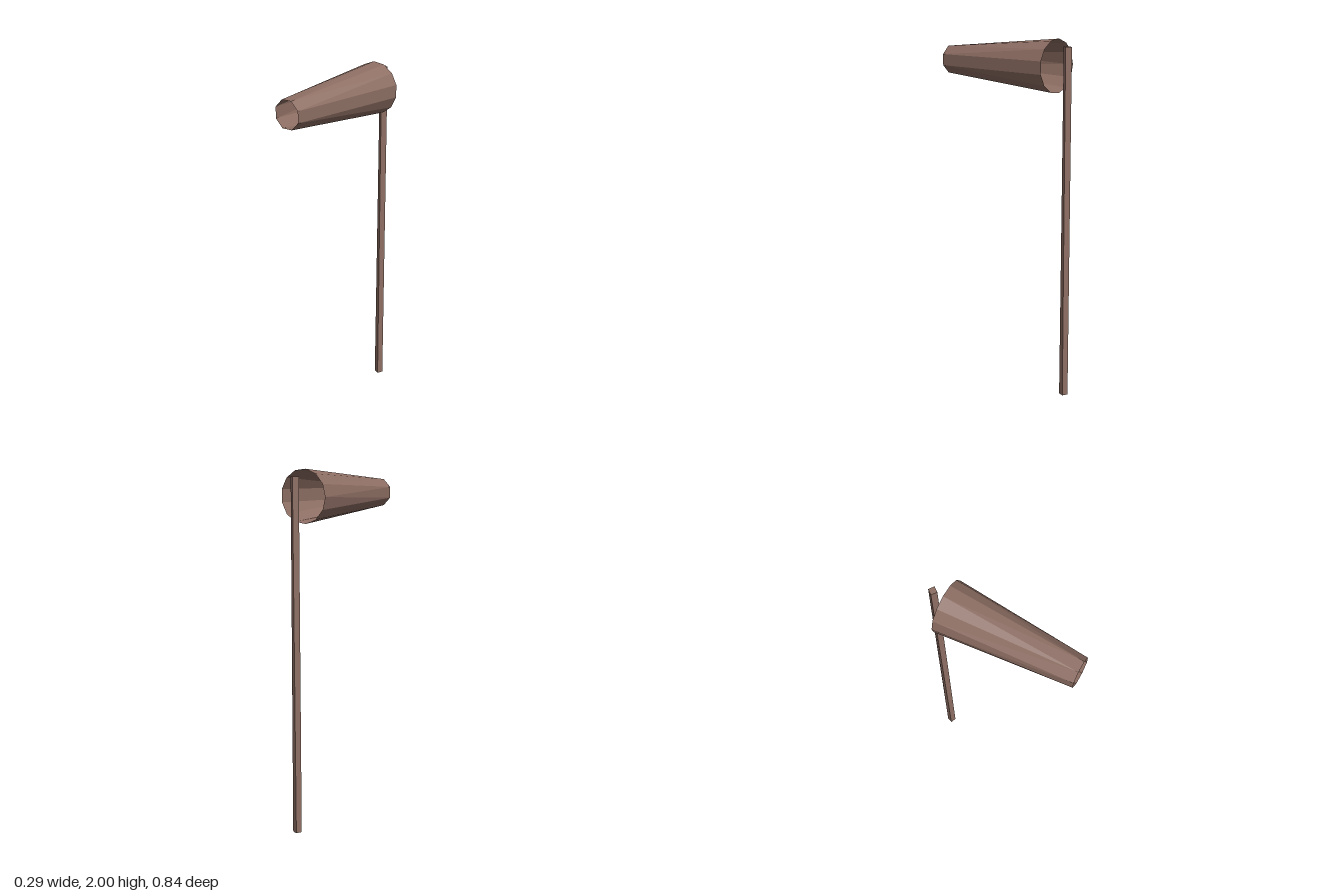
import * as THREE from 'three';

const TAU = Math.PI * 2;

// Open tapering sleeve joining two rings that have different side counts
function sleeveGeometry(wide, narrow) {
  const angle = (ring, i) => ring.start + (TAU * i) / ring.sides;
  const point = (ring, i) => [
    ring.x + ring.radius * Math.cos(angle(ring, i)),
    ring.y + ring.radius * Math.sin(angle(ring, i)),
    ring.z,
  ];
  const positions = [];
  let i = 0, j = 0;
  while (i < wide.sides || j < narrow.sides) {
    const a = point(wide, i), b = point(narrow, j);
    const stepWide = j === narrow.sides ||
      (i < wide.sides && angle(wide, i + 1) < angle(narrow, j + 1));
    const next = stepWide ? point(wide, ++i) : point(narrow, ++j);
    positions.push(...a, ...next, ...b);
  }
  const geometry = new THREE.BufferGeometry();
  geometry.setAttribute('position', new THREE.Float32BufferAttribute(positions, 3));
  geometry.computeVertexNormals();
  return geometry;
}

// Square post whose section turns slightly from bottom to top
function poleGeometry(radius, height, bottomTurn, topTurn) {
  const geometry = new THREE.CylinderGeometry(radius, radius, height, 4, 1);
  geometry.translate(0, height / 2, 0);
  const p = geometry.attributes.position;
  const v = new THREE.Vector3();
  const up = new THREE.Vector3(0, 1, 0);
  for (let i = 0; i < p.count; i++) {
    v.fromBufferAttribute(p, i);
    v.applyAxisAngle(up, THREE.MathUtils.lerp(bottomTurn, topTurn, v.y / height));
    p.setXYZ(i, v.x, v.y, v.z);
  }
  geometry.computeVertexNormals();
  return geometry;
}

export function createModel() {
  const model = new THREE.Group();
  model.name = 'windsock';

  const brown = new THREE.MeshStandardMaterial({
    name: 'brown', color: 0x8d6e63, flatShading: true, side: THREE.DoubleSide,
  });

  // Pole stands just behind the wide mouth
  const pole = new THREE.Mesh(poleGeometry(0.0245, 1.96, 0.4, 0.14), brown);
  pole.name = 'pole';
  pole.position.z = -0.4;
  model.add(pole);

  // Sock, open at both ends
  const sock = new THREE.Mesh(sleeveGeometry(
    { sides: 13, radius: 0.146, x: 0, y: 1.854, z: -0.33, start: Math.PI },
    { sides: 8, radius: 0.082, x: 0.003, y: 1.854, z: 0.42, start: Math.PI * 7 / 8 },
  ), brown);
  sock.name = 'sock';
  model.add(sock);

  return model;
}
